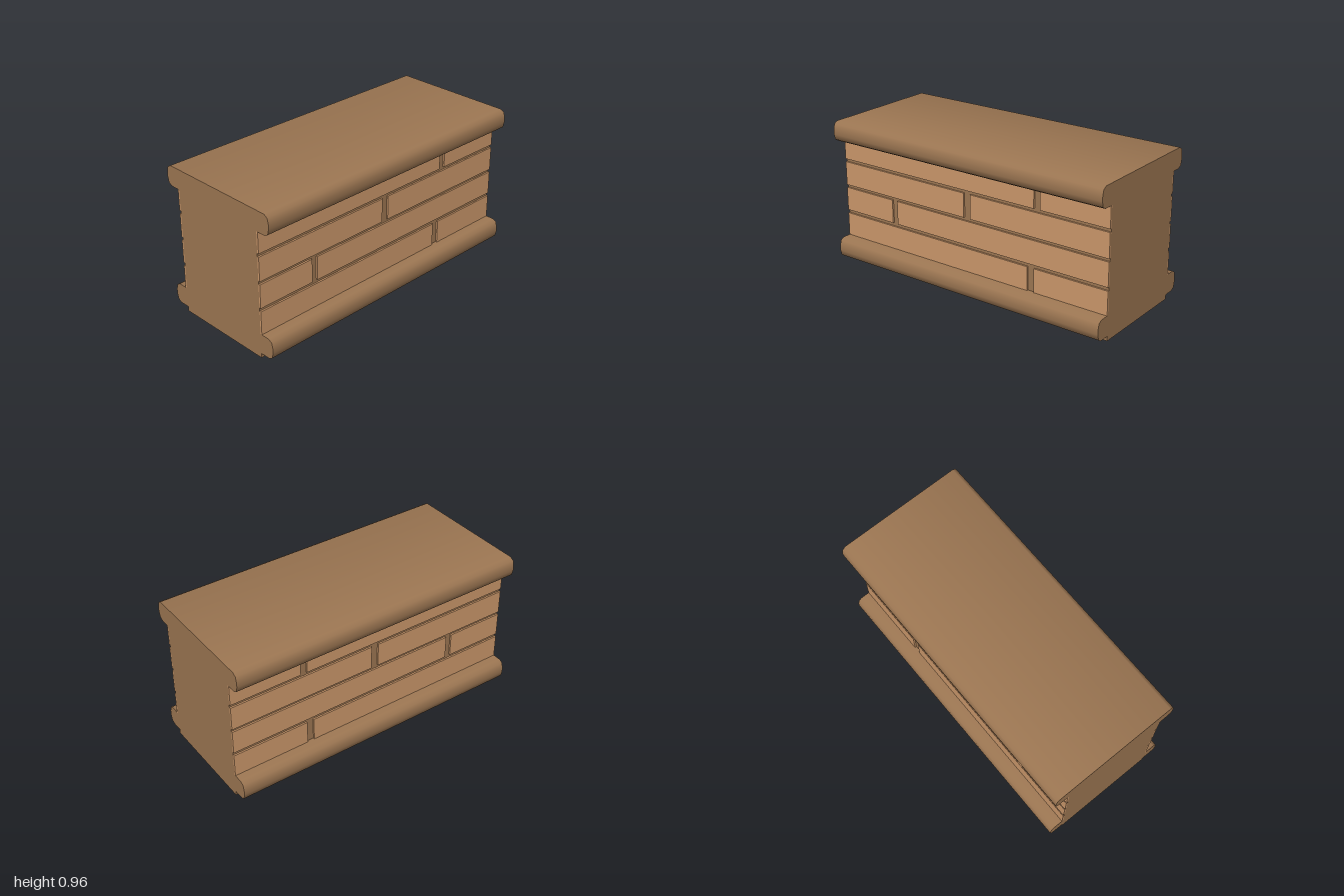
import * as THREE from 'three';

const stone = new THREE.MeshStandardMaterial({ color: 0x9c7652 });
stone.name = 'dark brown stone';
const brick = new THREE.MeshStandardMaterial({ color: 0xca976a });
brick.name = 'light brown brick';

// Box given by its lower and upper limits
function block(name, material, [x0, x1], [y0, y1], [z0, z1]) {
  const mesh = new THREE.Mesh(new THREE.BoxGeometry(x1 - x0, y1 - y0, z1 - z0), material);
  mesh.position.set((x0 + x1) / 2, (y0 + y1) / 2, (z0 + z1) / 2);
  mesh.name = name;
  return mesh;
}

// Full-length slab with rounded long edges, smooth around its section, and flat ends
function roundedSlab(name, y0, y1) {
  const h = y1 - y0;
  const half = [[0.41, 0], [0.434, 0.11], [0.443, 0.38], [0.443, 0.62], [0.434, 0.89], [0.41, 1]]
    .map(([z, t]) => [z, y0 + t * h]);
  const loop = [...half, ...half.map(([z, y]) => [-z, y]).reverse()];
  const n = loop.length;
  const faceNormals = loop.map(([z, y], i) => {
    const [z2, y2] = loop[(i + 1) % n];
    return new THREE.Vector3(0, z - z2, y2 - y).normalize();
  });
  const positions = [], normals = [], index = [];

  // Skin: two vertices per section point with averaged normals
  loop.forEach(([z, y], i) => {
    const normal = faceNormals[i].clone().add(faceNormals[(i + n - 1) % n]).normalize();
    for (const x of [-1, 1]) {
      positions.push(x, y, z);
      normals.push(...normal.toArray());
    }
    const a = 2 * i, b = 2 * ((i + 1) % n);
    index.push(a, a + 1, b + 1, a, b + 1, b);
  });

  // Flat end caps
  for (const x of [-1, 1]) {
    const start = positions.length / 3;
    for (const [z, y] of loop) {
      positions.push(x, y, z);
      normals.push(x, 0, 0);
    }
    for (let i = 1; i < n - 1; i++) {
      if (x > 0) index.push(start, start + i + 1, start + i);
      else index.push(start, start + i, start + i + 1);
    }
  }

  const geometry = new THREE.BufferGeometry();
  geometry.setAttribute('position', new THREE.Float32BufferAttribute(positions, 3));
  geometry.setAttribute('normal', new THREE.Float32BufferAttribute(normals, 3));
  geometry.setIndex(index);
  const mesh = new THREE.Mesh(geometry, stone);
  mesh.name = name;
  return mesh;
}

export function createModel() {
  const model = new THREE.Group();
  model.name = 'brickWall';

  // Foot, base moulding, wall core and coping
  model.add(
    block('foot', stone, [-1, 1], [0, 0.03], [-0.34, 0.34]),
    roundedSlab('baseMoulding', 0.03, 0.163),
    block('wallCore', stone, [-1, 1], [0.163, 0.83], [-0.34, 0.34]),
    roundedSlab('coping', 0.83, 0.962),
  );

  // Brick courses, each split by one upright joint, on both long faces
  const courses = [
    { y: [0.163, 0.317], joint: [0.445, 0.492] },
    { y: [0.339, 0.495], joint: [-0.605, -0.565] },
    { y: [0.514, 0.672], joint: [-0.027, 0.022] },
    { y: [0.692, 0.83], joint: [0.487, 0.53] },
  ];
  for (const [side, z] of [['front', [0.34, 0.351]], ['back', [-0.351, -0.34]]]) {
    const face = new THREE.Group();
    face.name = side + 'Bricks';
    courses.forEach(({ y, joint }, i) => {
      face.add(
        block(`${side}BrickRight${i + 1}`, brick, [-1, joint[0]], y, z),
        block(`${side}BrickLeft${i + 1}`, brick, [joint[1], 1], y, z),
      );
    });
    model.add(face);
  }
  return model;
}
